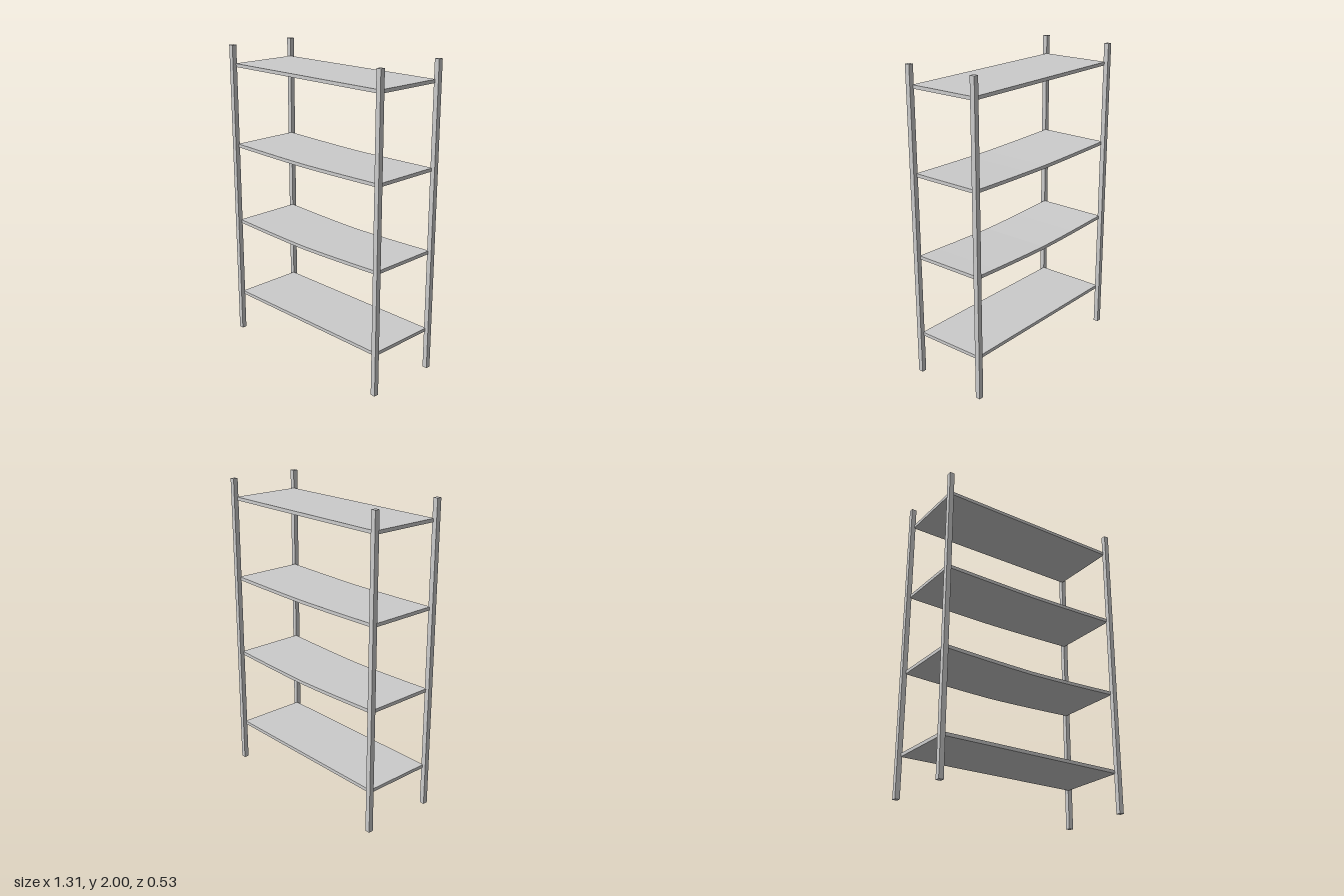
import * as THREE from 'three';

const HALF_X = 0.633, DEPTH = 0.474, THICK = 0.022;

export function createModel() {
  const group = new THREE.Group();
  const material = new THREE.MeshStandardMaterial({ color: 0xcccccc, flatShading: true });

  // Four square corner posts
  const postGeometry = new THREE.BoxGeometry(0.032, 2, 0.032);
  for (const [side, sx] of [['left', 1], ['right', -1]]) {
    for (const [end, sz] of [['Front', 1], ['Back', -1]]) {
      const post = new THREE.Mesh(postGeometry, material);
      post.name = `${side}${end}Post`;
      post.position.set(sx * 0.641, 1, sz * 0.247);
      group.add(post);
    }
  }

  // Shelf board whose middle sinks by the given amount
  function addShelf(name, y, sag) {
    const geometry = new THREE.BoxGeometry(HALF_X * 2, THICK, DEPTH, sag ? 8 : 1, 1, 1);
    const p = geometry.attributes.position;
    for (let i = 0; i < p.count; i++) {
      const t = Math.min(1, Math.abs(p.getX(i)) / HALF_X);
      p.setY(i, p.getY(i) - sag * (1 - Math.pow(t, 1.4)));
    }
    geometry.computeVertexNormals();
    const shelf = new THREE.Mesh(geometry, material);
    shelf.name = name;
    shelf.position.y = y;
    group.add(shelf);
  }

  addShelf('bottomShelf', 0.268, 0);
  addShelf('lowerMiddleShelf', 0.801, 0.019);
  addShelf('upperMiddleShelf', 1.335, 0.011);
  addShelf('topShelf', 1.869, 0);

  return group;
}
